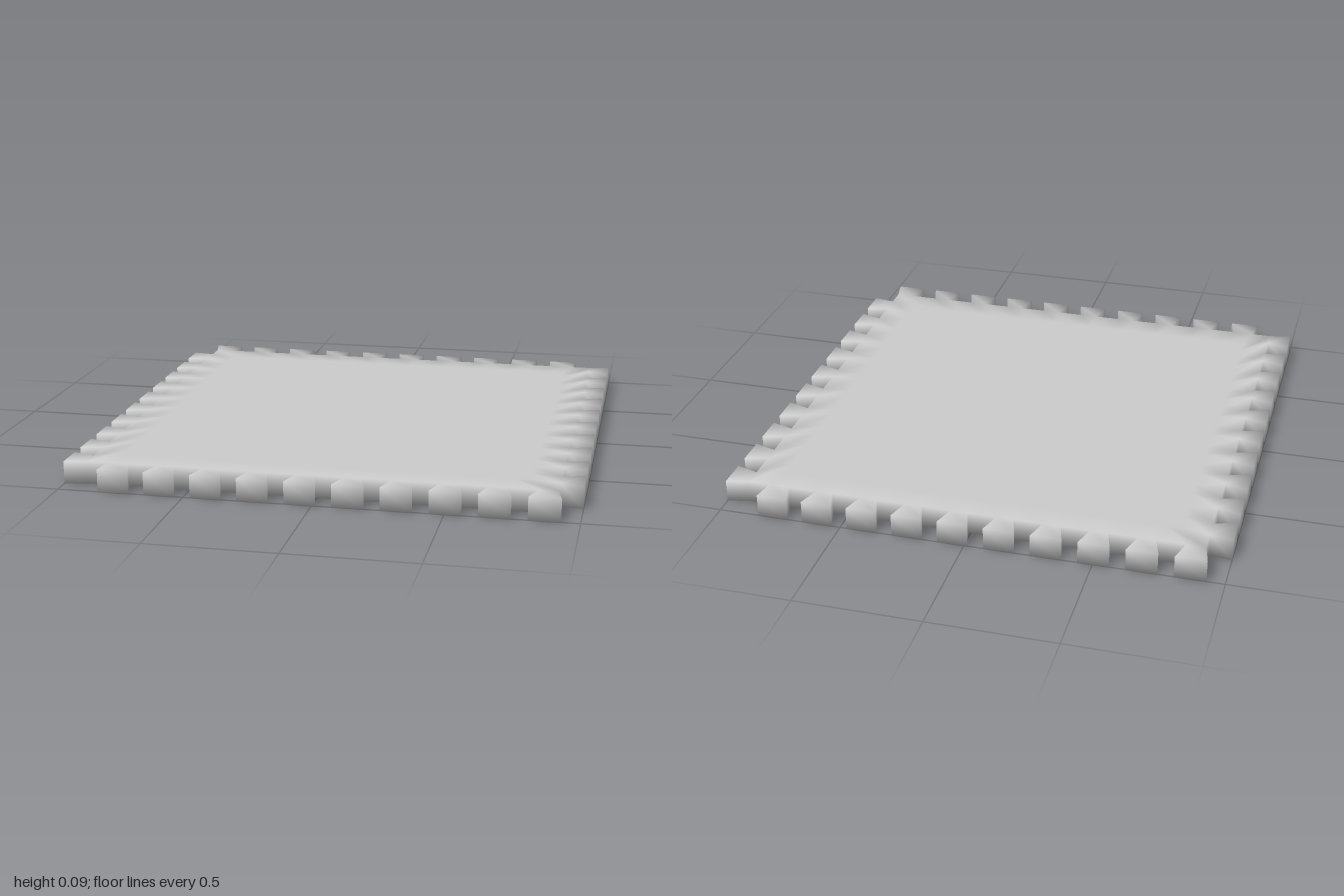
import * as THREE from 'three';

const HEIGHT = 0.09;   // mat thickness
const EDGE = 0.91;     // half width of the body, where the teeth start
const INNER = 0.8;     // half width of the flat middle
const TEETH = 10;      // per side
const PITCH = 0.183;
const FIRST = -0.778;  // centre of the first tooth on a side

// Four corners of one dovetail tooth on the front side: root, tip, tip, root
function toothCorners(k) {
  const c = FIRST + k * PITCH;
  const rootLeft = k === 0 ? -0.825 : c - 0.033;
  const rootRight = k === TEETH - 1 ? EDGE : c + 0.035;
  return [[rootLeft, EDGE], [c - 0.061, 1], [c + 0.061, 1], [rootRight, EDGE]];
}

// Quarter turns carry the front side to the right, back and left sides
function turn([x, z], side) {
  for (let i = 0; i < side; i++) [x, z] = [z, -x];
  return [x, z];
}

function matGeometry() {
  const points = [];   // plan positions, shared by the top and the bottom
  const faces = [];    // plan triangles, counter-clockwise from above
  const outline = [];
  const add = (p) => points.push(p) - 1;
  const quad = (a, b, c, d) => faces.push([a, b, c], [a, c, d]);

  const centre = add([0, 0]);
  const roots = [], inner = [];
  for (let side = 0; side < 4; side++) {
    for (let k = 0; k < TEETH; k++) {
      const plan = toothCorners(k);
      const ids = plan.map((p) => add(turn(p, side)));
      outline.push(...ids);
      quad(...ids);
      for (const j of [0, 3]) {
        roots.push(ids[j]);
        inner.push(add(turn([plan[j][0] * INNER / EDGE, INNER], side)));
      }
    }
  }

  // Border band between the tooth roots and the flat middle
  for (let i = 0; i < roots.length; i++) {
    const j = (i + 1) % roots.length;
    quad(inner[i], roots[i], roots[j], inner[j]);
    faces.push([centre, inner[i], inner[j]]);
  }

  // Top, bottom and walls share vertices, so the shading runs smoothly over the rim
  const n = points.length;
  const positions = [];
  for (const y of [HEIGHT, 0]) {
    for (const [x, z] of points) positions.push(x, y, z);
  }
  const index = [];
  for (const [a, b, c] of faces) index.push(a, b, c, c + n, b + n, a + n);
  outline.forEach((a, i) => {
    const b = outline[(i + 1) % outline.length];
    index.push(a, a + n, b + n, a, b + n, b);
  });

  const geometry = new THREE.BufferGeometry();
  geometry.setAttribute('position', new THREE.Float32BufferAttribute(positions, 3));
  geometry.setIndex(index);
  geometry.computeVertexNormals();
  return geometry;
}

export function createModel() {
  const group = new THREE.Group();
  group.name = 'interlockingFloorMat';
  const mat = new THREE.Mesh(matGeometry(), new THREE.MeshStandardMaterial({ color: 0xcccccc }));
  mat.name = 'toothedMat';
  group.add(mat);
  return group;
}
